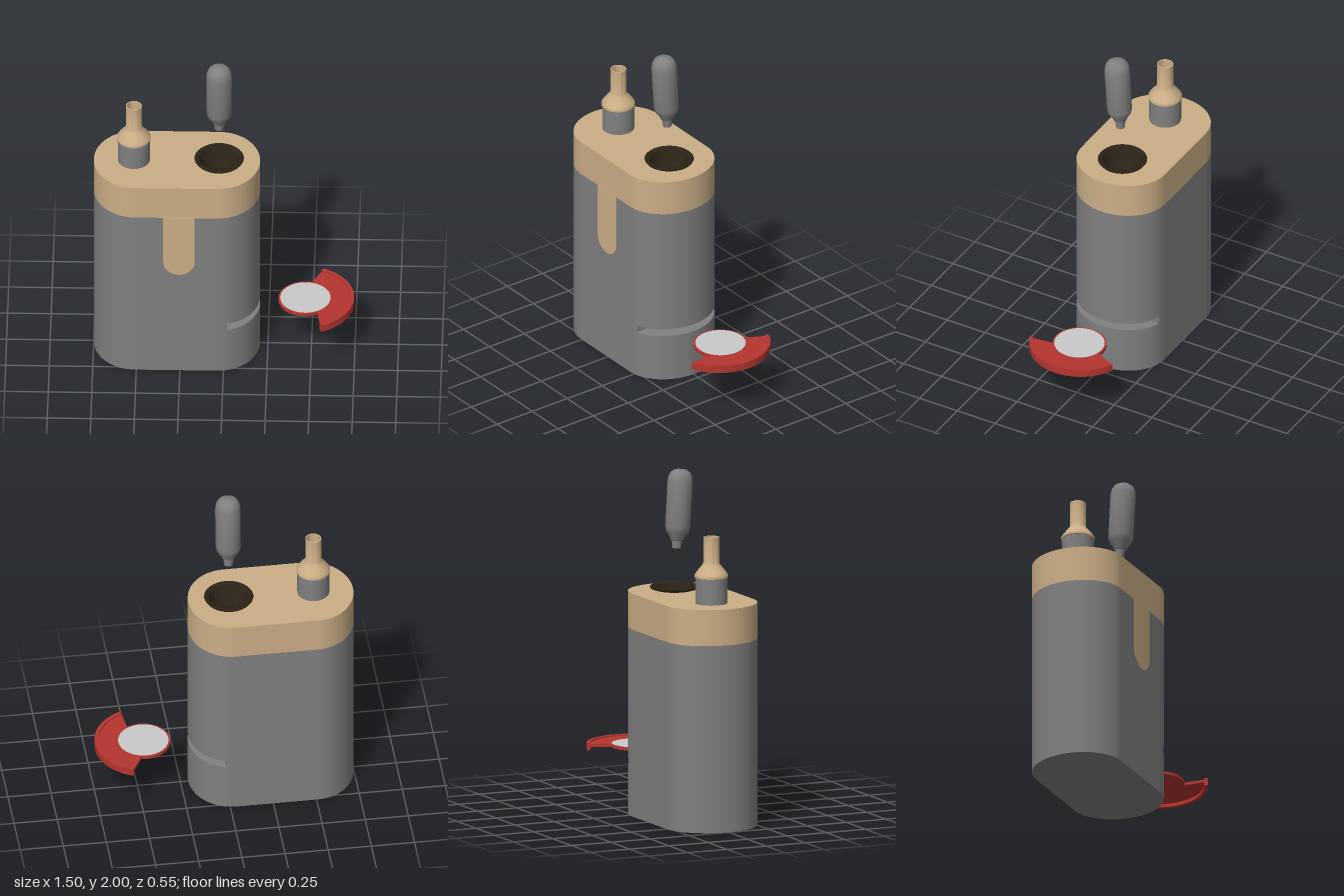
import * as THREE from 'three';
import { toCreasedNormals } from 'three/addons/utils/BufferGeometryUtils.js';

const material = (name, color, side = THREE.FrontSide) => {
  const m = new THREE.MeshStandardMaterial({ color, side });
  m.name = name;
  return m;
};

export function createModel() {
  const model = new THREE.Group();
  const grey = material('grey metal', 0x808080);
  const tan = material('tan cover', 0xcbae86);
  const dark = material('dark brown', 0x2c2317);
  const red = material('red tray', 0xb5352f);
  const pale = material('pale disc', 0xc9c9c9);

  const add = (name, geometry, mat, x = 0, y = 0, z = 0, parent = model) => {
    const mesh = new THREE.Mesh(geometry, mat);
    mesh.name = name;
    mesh.position.set(x, y, z);
    parent.add(mesh);
    return mesh;
  };
  // Slab lying flat: shape y becomes -z, thickness runs up from y0 to y1
  const slab = (shape, y0, y1) => new THREE.ExtrudeGeometry(shape, { depth: y1 - y0, bevelEnabled: false, curveSegments: 18 })
    .rotateX(-Math.PI / 2).translate(0, y0, 0);
  const lathe = (points, segments = 36) => toCreasedNormals(
    new THREE.LatheGeometry(points.map(([r, y]) => new THREE.Vector2(r, y)), segments), 0.6);

  // Rounded oblong outline, optionally cut off straight at the slot
  const W = 0.275, R = 0.24, xl = -0.51, xr = -0.035, cutX = 0.02;
  const outline = (cut = false) => {
    const s = new THREE.Shape();
    const a = cut ? Math.acos((cutX - xr) / R) : 0;
    s.absellipse(xl, 0, R, W, Math.PI / 2, Math.PI * 1.5, false);
    if (cut) {
      s.absellipse(xr, 0, R, W, -Math.PI / 2, -a, false);
      s.absellipse(xr, 0, R, W, a, Math.PI / 2, false);
    } else s.absellipse(xr, 0, R, W, -Math.PI / 2, Math.PI / 2, false);
    return s;
  };

  // Body with a slot through its left end
  const body = new THREE.Group();
  body.name = 'body';
  model.add(body);
  add('lowerBody', slab(outline(), 0, 0.285), grey, 0, 0, 0, body);
  add('slotBody', slab(outline(true), 0.285, 0.33), grey, 0, 0, 0, body);
  add('upperBody', slab(outline(), 0.33, 1.09), grey, 0, 0, 0, body);

  // Cover with the bowl opening, and its front tongue
  const bowlX = -0.03;
  const cover = outline();
  cover.holes.push(new THREE.Path().absarc(bowlX, 0, 0.11, 0, Math.PI * 2, true));
  add('cover', slab(cover, 1.09, 1.3), tan);
  const tongue = new THREE.Shape();
  tongue.moveTo(0.09, 1.09);
  tongue.lineTo(-0.09, 1.09);
  tongue.lineTo(-0.09, 0.775);
  tongue.absarc(0, 0.775, 0.09, Math.PI, Math.PI * 2, false);
  add('tongue', new THREE.ExtrudeGeometry(tongue, { depth: 0.006, bevelEnabled: false }), tan, -0.255, 0, 0.272);

  // Bowl: flanged rim and funnel
  add('bowl', lathe([[0.1, 1.3], [0.135, 1.308], [0.142, 1.318], [0.135, 1.325], [0.115, 1.318],
    [0.1, 1.28], [0.08, 1.24], [0.05, 1.21], [0.045, 1.12], [0, 1.12]]), dark, bowlX);

  // Mouthpiece
  const mouthX = -0.52;
  add('mouthpieceBase', new THREE.CylinderGeometry(0.092, 0.092, 0.15, 36), grey, mouthX, 1.375);
  add('mouthpiece', lathe([[0.092, 1.45], [0.097, 1.452], [0.097, 1.465], [0.085, 1.483], [0.055, 1.52],
    [0.046, 1.535], [0.046, 1.685], [0.039, 1.685], [0.039, 1.56]]), tan, mouthX);
  add('mouthpieceSeat', new THREE.CylinderGeometry(0.04, 0.04, 0.01, 24), grey, mouthX, 1.56);
  add('airHole', new THREE.CylinderGeometry(0.023, 0.023, 0.004, 12), dark, mouthX, 1.566);

  // Floating capsule, slightly tilted
  const capsule = new THREE.Group();
  capsule.name = 'capsule';
  capsule.position.set(bowlX, 1.54, 0.013);
  capsule.rotation.x = 0.06;
  model.add(capsule);
  add('capsuleShell', lathe([[0, 0.002], [0.026, 0.002], [0.03, 0.045], [0.037, 0.05], [0.042, 0.065], [0.066, 0.1],
    [0.072, 0.125], [0.073, 0.39], [0.068, 0.42], [0.055, 0.443], [0.035, 0.456], [0, 0.46]]), grey, 0, 0, 0, capsule);
  add('capsuleTip', new THREE.CylinderGeometry(0.024, 0.024, 0.004, 24), dark, 0, 0.001, 0, capsule);

  // Tray: disc, sector floor and raised outer rim
  const discX = 0.465, arcX = 0.448, outerR = 0.297, rimR = 0.275, sweep = 1.18;
  const tray = new THREE.Group();
  tray.name = 'tray';
  model.add(tray);
  add('trayDisc', new THREE.CylinderGeometry(0.155, 0.155, 0.018, 48), red, discX, 0.317, 0, tray);
  add('trayScreen', new THREE.CylinderGeometry(0.145, 0.145, 0.005, 48), pale, discX, 0.3255, 0, tray);
  const floor = new THREE.Shape();
  floor.moveTo(0.495, -0.145);
  floor.absarc(arcX, 0, 0.285, -sweep, sweep, false);
  floor.lineTo(0.495, 0.145);
  add('trayFloor', slab(floor, 0.308, 0.325), red, 0, 0, 0, tray);
  const rim = new THREE.Shape();
  rim.absarc(arcX, 0, outerR, -sweep, sweep, false);
  rim.absarc(arcX, 0, rimR, sweep, -sweep, true);
  add('trayRim', slab(rim, 0.288, 0.333), red, 0, 0, 0, tray);

  return model;
}
